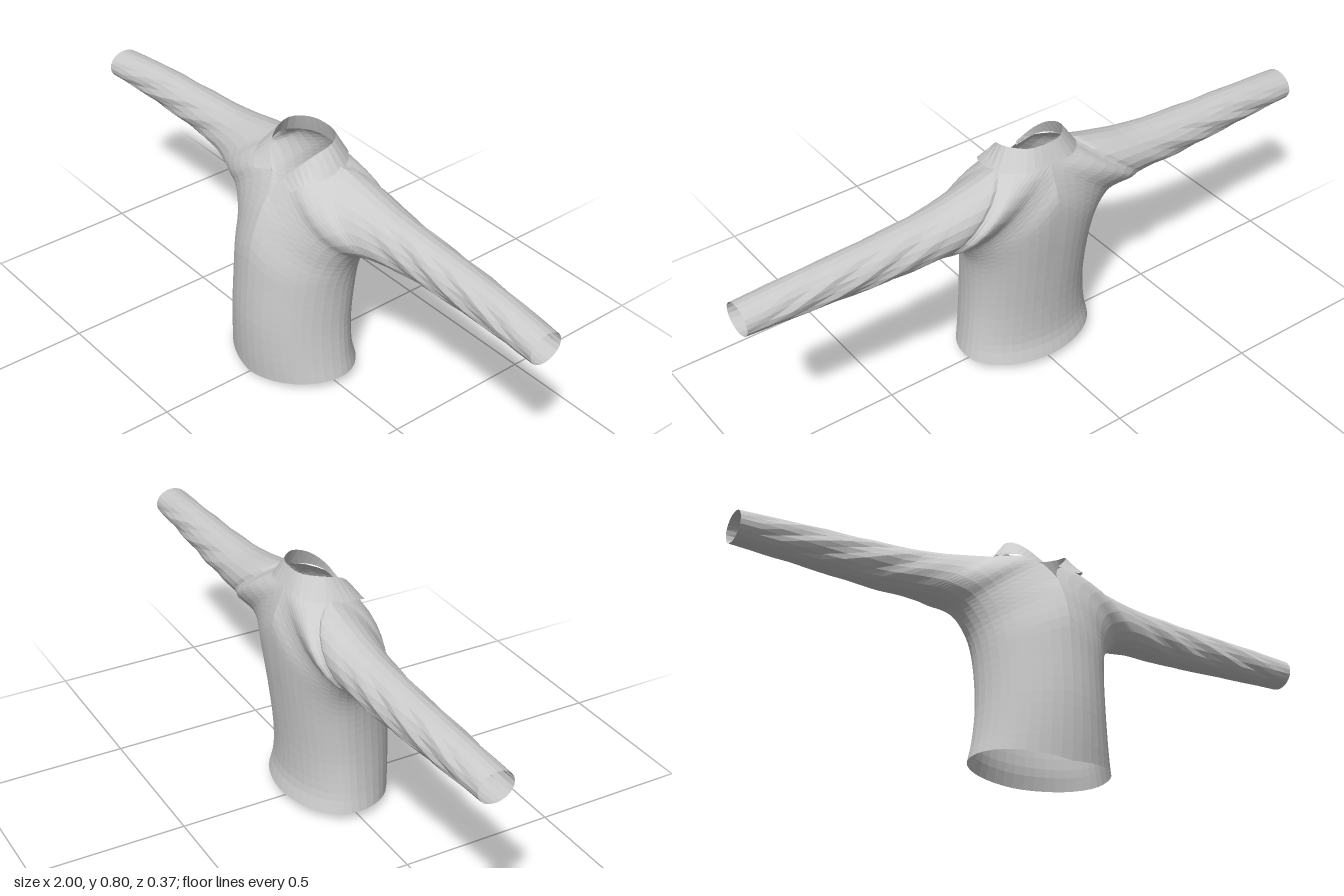
import * as THREE from 'three';

const SUB = 3;    // steps between neighbouring stations
const AROUND = 10; // steps from the underarm seam to the outer edge
const SHOULDER = 10; // station from which front and back share the top seam

// Side seam: hem, up to the armpit, then along the underarm to the cuff
const SEAM = [
  [.23, .035, -.01], [.218, .1, -.01], [.208, .2, -.01], [.208, .3, -.015],
  [.215, .38, -.02], [.23, .44, -.03], [.255, .485, -.04], [.28, .51, -.045],
  [.31, .525, -.05], [.35, .533, -.06], [.39, .537, -.06], [.45, .54, -.065],
  [.52, .54, -.07], [.62, .542, -.07], [.8, .548, -.065], [1, .553, -.055],
];
// Top of the sleeve, from the neck to the cuff
const TOP = [
  [.135, .745, -.06], [.22, .725, -.07], [.36, .698, -.07],
  [.56, .683, -.07], [.8, .67, -.065], [1, .65, -.055],
];
// Outer edges: centre line, then neckline, then the top of the sleeve
const FRONT_EDGE = [
  [0, .005, .18], [0, .1, .187], [0, .22, .19], [0, .36, .182], [0, .48, .17],
  [0, .58, .135], [0, .64, .1], [.03, .7, .06], [.08, .72, .04], [.12, .735, -.01],
  ...TOP,
];
const BACK_EDGE = [
  [0, .03, -.165], [0, .1, -.148], [0, .22, -.15], [0, .38, -.165], [0, .52, -.18],
  [0, .63, -.183], [0, .7, -.16], [0, .745, -.14], [.07, .745, -.13], [.11, .745, -.105],
  ...TOP,
];
// Depth of the bulge at each station
const FRONT_DEPTH = [.19, .197, .2, .197, .19, .175, .165, .15, .135, .125, .112, .09, .072, .064, .058, .057];
const BACK_DEPTH = [.155, .138, .14, .15, .16, .155, .14, .135, .13, .12, .11, .092, .078, .068, .06, .058];
// Arc swept at each station, in half turns: a quarter for the torso, a half for the sleeve
const ARC = [.5, .5, .5, .5, .5, .52, .57, .63, .72, .82, .9, .97, 1, 1, 1, 1];

const spline = (points) => new THREE.CatmullRomCurve3(
  points.map((p) => new THREE.Vector3(...p)), false, 'catmullrom');

// Surface from rows of points; flip turns the faces over
function gridGeometry(rows, flip) {
  const n = rows[0].length;
  const index = [];
  for (let i = 0; i < rows.length - 1; i++) {
    for (let j = 0; j < n - 1; j++) {
      const a = i * n + j, b = a + 1, c = a + n, d = c + 1;
      if (flip) index.push(a, c, b, b, c, d);
      else index.push(a, b, c, b, d, c);
    }
  }
  const geometry = new THREE.BufferGeometry().setFromPoints(rows.flat());
  geometry.setIndex(index);
  geometry.computeVertexNormals();
  return geometry;
}

// One quarter of the shirt: half the torso together with half a sleeve
function panelRows(side, isFront) {
  const dir = isFront ? 1 : -1;
  const depths = isFront ? FRONT_DEPTH : BACK_DEPTH;
  const seam = spline(SEAM);
  const shared = spline(FRONT_EDGE);
  const edge = spline(isFront ? FRONT_EDGE : BACK_EDGE);
  const shape = spline(depths.map((d, i) => [d, ARC[i], 0]));
  const count = (SEAM.length - 1) * SUB;
  const rows = [];
  for (let i = 0; i <= count; i++) {
    const t = i / count;
    const p = seam.getPoint(t);
    const q = (i >= SHOULDER * SUB ? shared : edge).getPoint(t);
    if (i <= 6 * SUB) q.x = 0;
    q.x = Math.max(0, q.x);
    const s = shape.getPoint(t);
    const arc = Math.min(1, s.y) * Math.PI;
    const row = [];
    for (let j = 0; j <= AROUND; j++) {
      const angle = arc * j / AROUND;
      const w = (1 - Math.cos(angle)) / (1 - Math.cos(arc));
      const v = p.clone().lerp(q, w);
      v.z = p.z + dir * s.x * Math.sin(angle)
        + (q.z - p.z - dir * s.x * Math.sin(arc)) * w;
      // soft creases along the sleeve, fading at both seams
      const sleeve = THREE.MathUtils.smoothstep(v.x, .3, .5) * (1 - THREE.MathUtils.smoothstep(v.x, .85, 1));
      v.z += dir * .004 * sleeve * Math.sin(angle) * Math.sin(v.x * 34 + j * 1.9 + side);
      v.x *= side;
      row.push(v);
    }
    rows.push(row);
  }
  return rows;
}

// Folded collar, from back centre to front: neckline, top fold, outer edge
const COLLAR = [
  [[0, .745, -.135], [0, .805, -.12], [0, .75, -.147]],
  [[.07, .745, -.125], [.06, .805, -.108], [.085, .745, -.137]],
  [[.125, .745, -.07], [.1, .803, -.06], [.143, .738, -.075]],
  [[.122, .737, -.01], [.095, .785, -.005], [.146, .728, .005]],
  [[.085, .725, .035], [.07, .75, .037], [.122, .71, .058]],
  [[.025, .69, .063], [.027, .702, .066], [.085, .685, .085]],
];

function collarRows() {
  const curves = [0, 1, 2].map((k) => spline([
    ...COLLAR.slice(1).reverse().map((r) => [-r[k][0], r[k][1], r[k][2]]),
    ...COLLAR.map((r) => r[k]),
  ]));
  const rows = [];
  for (let i = 0; i <= 30; i++) rows.push(curves.map((c) => c.getPoint(i / 30)));
  return rows;
}

export function createModel() {
  const group = new THREE.Group();
  group.name = 'shirt';
  const cloth = new THREE.MeshStandardMaterial({
    color: 0xcccccc, flatShading: true, side: THREE.DoubleSide,
  });
  const add = (name, geometry) => {
    const mesh = new THREE.Mesh(geometry, cloth);
    mesh.name = name;
    group.add(mesh);
  };

  // Body and sleeves
  for (const side of [1, -1]) {
    const label = side > 0 ? 'left' : 'right';
    add(label + 'FrontPanel', gridGeometry(panelRows(side, true), side < 0));
    add(label + 'BackPanel', gridGeometry(panelRows(side, false), side > 0));
  }

  // Collar
  add('collar', gridGeometry(collarRows(), false));
  return group;
}
